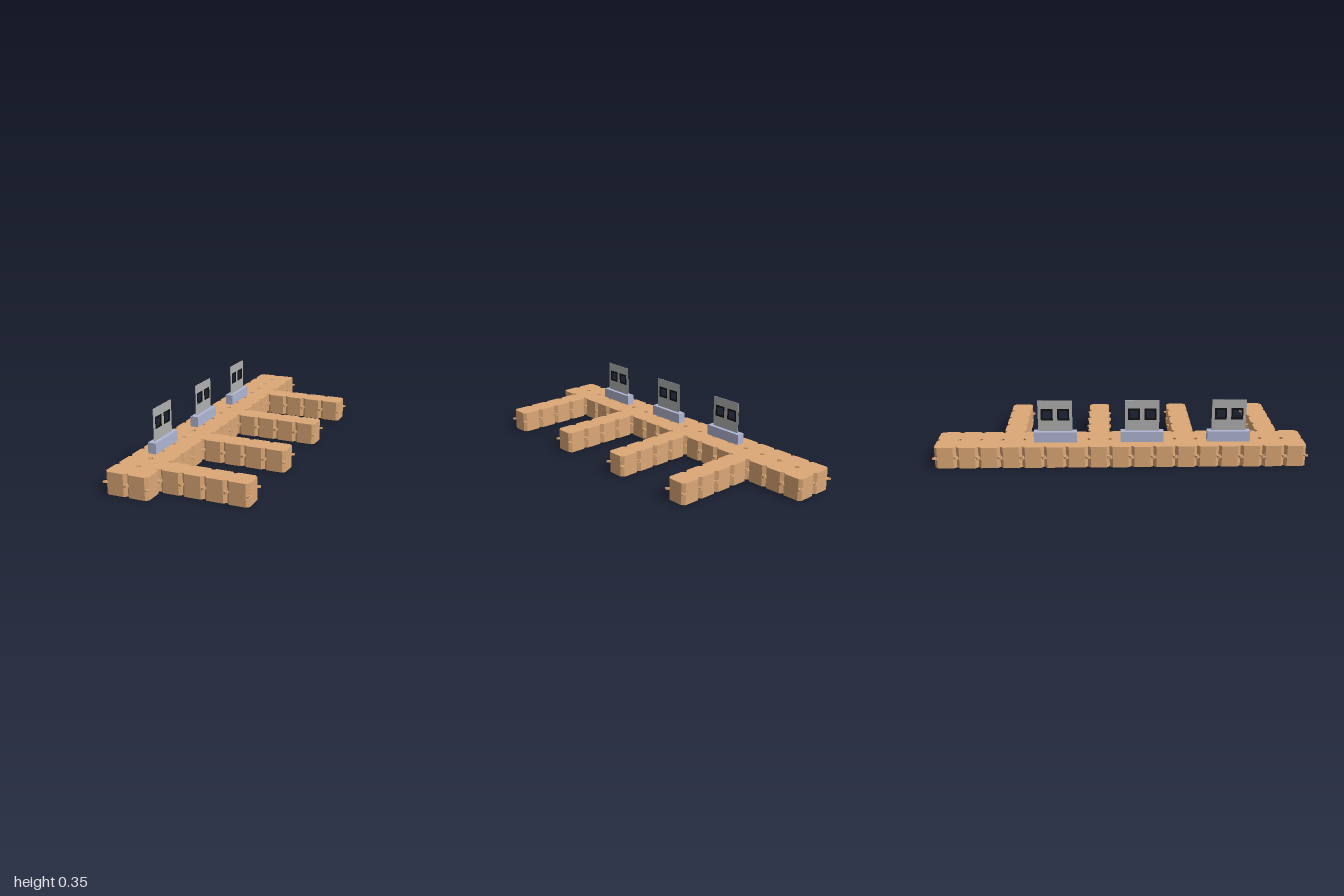
import * as THREE from 'three';
import { mergeGeometries } from 'three/addons/utils/BufferGeometryUtils.js';

const PITCH = 0.1163, HEIGHT = 0.117, CHAMFER = 0.016;
const ROWS = 17, MAIN_COLS = 2, FINGER_COLS = 4;
const X0 = -PITCH * 3, Z0 = -PITCH * ROWS / 2;

const paint = (color) => new THREE.MeshStandardMaterial({ color, flatShading: true });

// Extrudes a plan shape upwards from y to y + depth
function slab(shape, y, depth) {
  const g = new THREE.ExtrudeGeometry(shape, { depth, bevelEnabled: false, curveSegments: 6 });
  return g.rotateX(-Math.PI / 2).translate(0, y, 0);
}

function rectPoints(cx, cy, w, h) {
  return [[-1, -1], [1, -1], [1, 1], [-1, 1]].map(([a, b]) => new THREE.Vector2(cx + a * w / 2, cy + b * h / 2));
}

// Float cube: square plan with cut corners
function cubeGeometry() {
  const h = PITCH / 2, c = h - CHAMFER;
  const pts = [[c, -h], [h, -c], [h, c], [c, h], [-c, h], [-h, c], [-h, -c], [-c, -h]];
  return slab(new THREE.Shape(pts.map(([x, y]) => new THREE.Vector2(x, y))), 0, HEIGHT);
}

// Coupling lug: rounded eye with a hole, rooted on the cut corner (+x side)
function lugGeometry(y) {
  const r = 0.011, root = -CHAMFER / Math.SQRT2;
  const s = new THREE.Shape();
  s.moveTo(root, -r);
  s.lineTo(0, -r);
  s.absarc(0, 0, r, -Math.PI / 2, Math.PI / 2, false);
  s.lineTo(root, r);
  s.closePath();
  const hole = new THREE.Path();
  hole.absarc(0, 0, 0.006, 0, Math.PI * 2, true);
  s.holes.push(hole);
  return slab(s, y, 0.0062);
}

// One float module: cube plus four lugs at alternating heights
function floatGeometry() {
  const parts = [cubeGeometry()];
  for (let i = 0; i < 4; i++) {
    parts.push(lugGeometry(i % 2 ? 0.0535 : 0.06)
      .translate(PITCH / Math.SQRT2, 0, 0)
      .rotateY(Math.PI / 4 + i * Math.PI / 2));
  }
  return mergeGeometries(parts);
}

// Upright sheet with two framed openings, standing in the z-y plane
function signParts() {
  const t = 0.003, w = 0.184, bottom = 0.173, top = 0.347;
  const openings = [-0.044, 0.044];
  const sheet = new THREE.Shape(rectPoints(0, (bottom + top) / 2, w, top - bottom));
  const frames = [];
  for (const u of openings) {
    sheet.holes.push(new THREE.Path(rectPoints(u, 0.268, 0.062, 0.062).reverse()));
    const f = new THREE.Shape(rectPoints(u, 0.268, 0.064, 0.064));
    f.holes.push(new THREE.Path(rectPoints(u, 0.268, 0.044, 0.044).reverse()));
    frames.push(f);
  }
  const upright = (shape, d) => new THREE.ExtrudeGeometry(shape, { depth: d, bevelEnabled: false })
    .translate(0, 0, -d / 2).rotateY(Math.PI / 2);
  return [upright(sheet, t), mergeGeometries(frames.map((f) => upright(f, t + 0.001)))];
}

export function createModel() {
  const model = new THREE.Group();
  model.name = 'floatingDock';
  const tan = paint(0xdca876), blue = paint(0xb0b5d2), grey = paint(0xb0b0b0), black = paint(0x111111);
  const unit = floatGeometry();

  const addFloats = (name, col0, cols, row0, rows) => {
    const parts = [];
    for (let c = col0; c < col0 + cols; c++) {
      for (let r = row0; r < row0 + rows; r++) {
        parts.push(unit.clone().translate(X0 + (c + 0.5) * PITCH, 0, Z0 + (r + 0.5) * PITCH));
      }
    }
    const mesh = new THREE.Mesh(mergeGeometries(parts), tan);
    mesh.name = name;
    model.add(mesh);
  };

  // Main walkway and four finger piers
  addFloats('walkway', 0, MAIN_COLS, 0, ROWS);
  [3, 7, 11, 15].forEach((row, i) => addFloats('fingerPier' + (i + 1), MAIN_COLS, FINGER_COLS, row, 1));

  // Three pedestals carrying the upright panels
  const [sheet, frames] = signParts();
  const base = new THREE.BoxGeometry(0.045, 0.058, 0.23).translate(0, HEIGHT + 0.029, 0);
  [-3, 1, 5].forEach((k, i) => {
    const stand = new THREE.Group();
    stand.name = 'stand' + (i + 1);
    for (const [name, geo, mat] of [['pedestal', base, blue], ['panel', sheet, grey], ['windowFrames', frames, black]]) {
      const mesh = new THREE.Mesh(geo, mat);
      mesh.name = name;
      stand.add(mesh);
    }
    stand.position.set(-0.257, 0, k * PITCH);
    model.add(stand);
  });
  return model;
}
